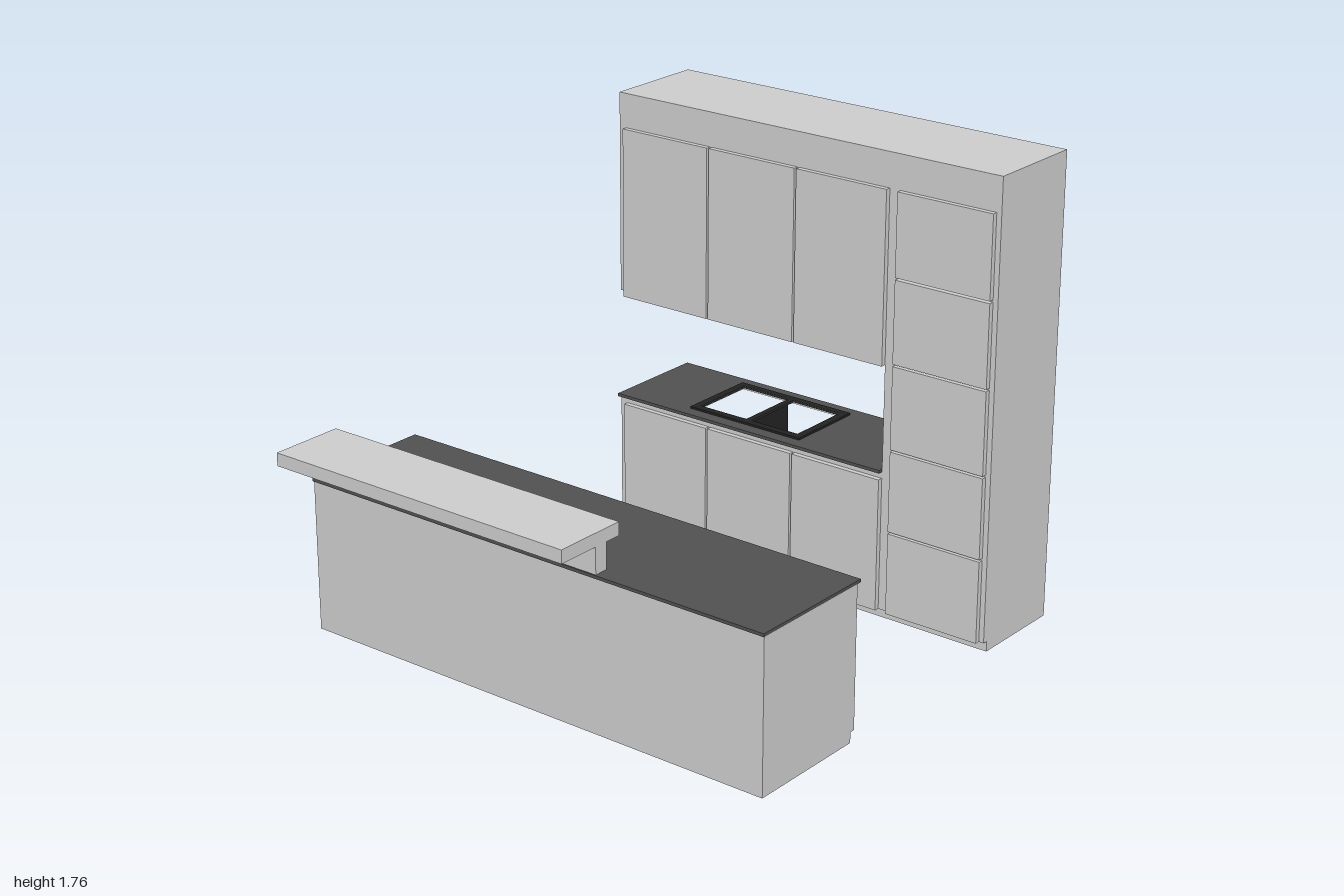
import * as THREE from 'three';

const grey = new THREE.MeshStandardMaterial({ color: 0xcccccc });
const stone = new THREE.MeshStandardMaterial({ color: 0x505050 });
const black = new THREE.MeshStandardMaterial({ color: 0x222222 });

// Axis-aligned block given by its limits
function block(parent, name, [x0, x1], [y0, y1], [z0, z1], material = grey) {
  const mesh = new THREE.Mesh(new THREE.BoxGeometry(x1 - x0, y1 - y0, z1 - z0), material);
  mesh.position.set((x0 + x1) / 2, (y0 + y1) / 2, (z0 + z1) / 2);
  mesh.name = name;
  parent.add(mesh);
}

// Rectangle in plan, traced for a shape or hole
function trace(path, [x0, x1], [z0, z1]) {
  path.moveTo(x0, -z0);
  path.lineTo(x1, -z0);
  path.lineTo(x1, -z1);
  path.lineTo(x0, -z1);
  path.closePath();
  return path;
}

// Block with rectangular holes running through it from top to bottom
function pierced(parent, name, x, [y0, y1], z, holes, material = grey) {
  const shape = trace(new THREE.Shape(), x, z);
  shape.holes = holes.map(([hx, hz]) => trace(new THREE.Path(), hx, hz));
  const geometry = new THREE.ExtrudeGeometry(shape, { depth: y1 - y0, bevelEnabled: false });
  geometry.rotateX(-Math.PI / 2);
  geometry.translate(0, y0, 0);
  const mesh = new THREE.Mesh(geometry, material);
  mesh.name = name;
  parent.add(mesh);
}

// Row of panels between consecutive z limits, stacked between consecutive y limits
function panels(parent, name, x, ys, zs, gap = 0.008) {
  for (let i = 0; i < zs.length - 1; i++) {
    for (let j = 0; j < ys.length - 1; j++) {
      block(parent, name, x,
        [ys[j] + (j ? gap / 2 : 0), ys[j + 1] - (j < ys.length - 2 ? gap / 2 : 0)],
        [zs[i] + (i ? gap / 2 : 0), zs[i + 1] - (i < zs.length - 2 ? gap / 2 : 0)]);
    }
  }
}

function createIsland() {
  const island = new THREE.Group();
  island.name = 'island';
  block(island, 'islandPlinth', [-0.78, -0.295], [0, 0.04], [-0.998, 0.998]);
  block(island, 'islandCarcass', [-0.78, -0.275], [0.04, 0.578], [-0.998, 0.998]);
  block(island, 'islandWorktop', [-0.785, -0.26], [0.578, 0.59], [-1, 1], stone);

  // End doors and two stacks of three drawers
  const front = [-0.275, -0.26];
  panels(island, 'islandDoor', front, [0.04, 0.553], [-0.98, -0.585]);
  panels(island, 'islandDoor', front, [0.04, 0.553], [0.585, 0.98]);
  panels(island, 'islandDrawer', front, [0.04, 0.295, 0.425, 0.553], [-0.577, 0, 0.577]);

  // Raised breakfast bar
  block(island, 'barSupport', [-0.78, -0.725], [0.59, 0.69], [-1, 0.305]);
  block(island, 'barTop', [-0.95, -0.66], [0.69, 0.74], [-1, 0.305]);
  return island;
}

function createSink() {
  const sink = new THREE.Group();
  sink.name = 'sink';
  const inner = [0.605, 0.865];
  const basins = [[inner, [-0.345, -0.135]], [inner, [-0.11, 0.1]]];
  pierced(sink, 'sinkRim', [0.575, 0.895], [0.59, 0.598], [-0.375, 0.13], basins, black);
  pierced(sink, 'sinkWalls', [0.59, 0.88], [0.46, 0.59], [-0.36, 0.115], basins, black);
  block(sink, 'sinkBottom', [0.59, 0.88], [0.45, 0.46], [-0.36, 0.115], black);
  return sink;
}

function createWallUnit() {
  const unit = new THREE.Group();
  unit.name = 'wallUnit';
  const depth = [0.545, 0.945];
  const run = [-0.685, 0.52];
  const sinkHole = [[0.59, 0.88], [-0.36, 0.115]];

  // Carcasses
  block(unit, 'wallPlinth', [0.565, 0.945], [0, 0.04], [-0.685, 0.975]);
  pierced(unit, 'baseCabinet', depth, [0.04, 0.578], run, [sinkHole]);
  block(unit, 'tallCabinet', depth, [0.04, 1.765], [0.52, 0.975]);
  block(unit, 'upperCabinet', depth, [1.0, 1.765], run);
  pierced(unit, 'wallWorktop', [0.525, 0.945], [0.578, 0.59], run, [sinkHole], stone);

  // Fronts
  const front = [0.525, 0.545];
  const bays = [-0.655, -0.26, 0.13, 0.52];
  panels(unit, 'baseDoor', front, [0.04, 0.553], bays);
  panels(unit, 'upperDoor', front, [0.985, 1.635], bays);
  panels(unit, 'tallDoor', front, [0.04, 0.36, 0.677, 1.0, 1.32, 1.635], [0.565, 0.955]);
  unit.add(createSink());
  return unit;
}

export function createModel() {
  const kitchen = new THREE.Group();
  kitchen.name = 'kitchen';
  kitchen.add(createIsland(), createWallUnit());
  return kitchen;
}
